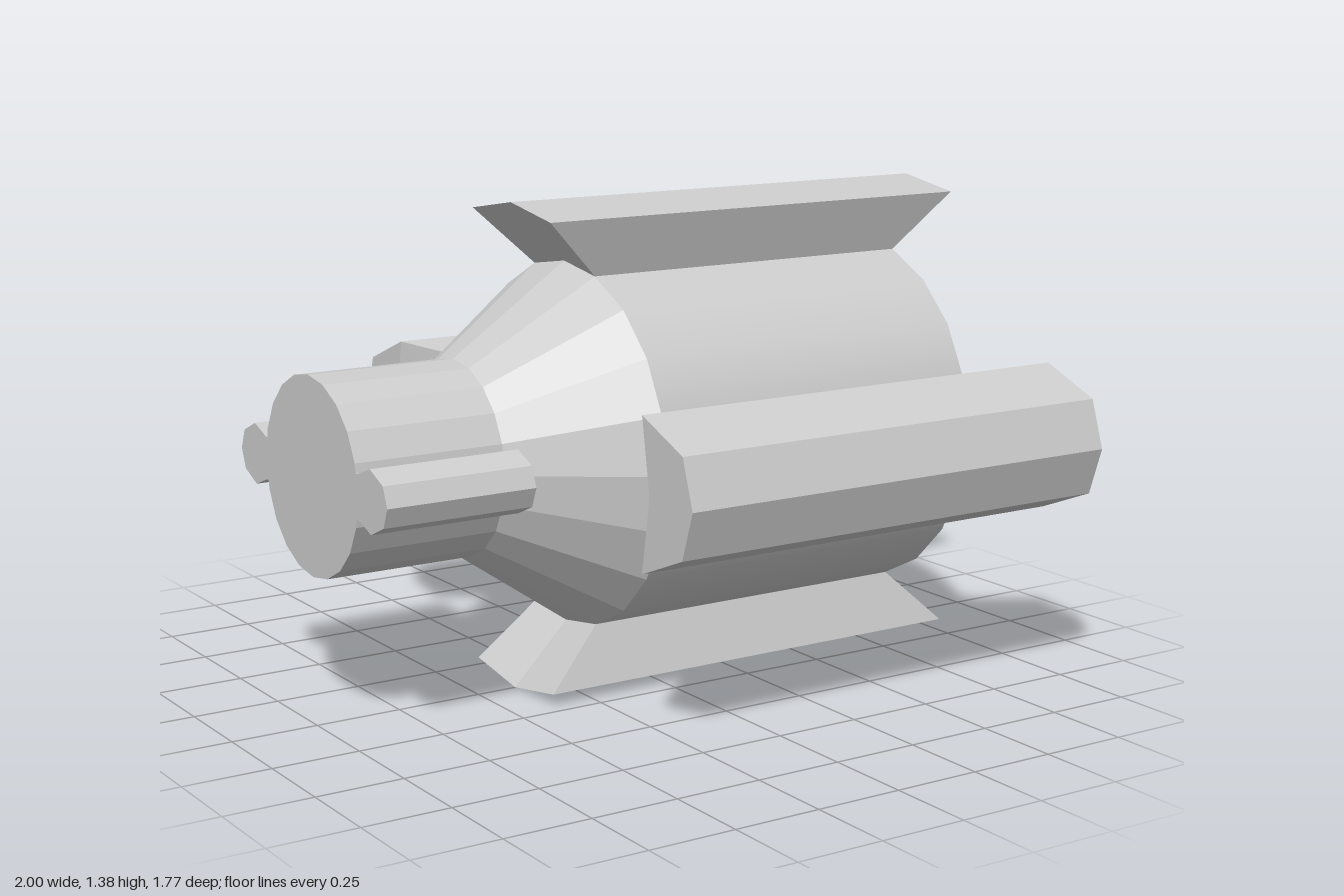
import * as THREE from 'three';

const AXIS_Y = 0.69;
const smooth = new THREE.MeshStandardMaterial({ color: 0xcccccc });
const flat = new THREE.MeshStandardMaterial({ color: 0xcccccc, flatShading: true });

function addMesh(parent, name, geometry, material = flat) {
  const mesh = new THREE.Mesh(geometry, material);
  mesh.name = name;
  parent.add(mesh);
  return mesh;
}

// Round section along x, from x0 (radius r0) to x1 (radius r1)
function section(x0, r0, x1, r1, open = false) {
  return new THREE.CylinderGeometry(r0, r1, x1 - x0, 20, 1, open)
    .rotateZ(Math.PI / 2)
    .translate((x0 + x1) / 2, 0, 0);
}

// Prism along x from a [width, radius] outline
function prism(outline, x0, x1) {
  const shape = new THREE.Shape(outline.map(([u, r]) => new THREE.Vector2(u, r)));
  return new THREE.ExtrudeGeometry(shape, { depth: x1 - x0, bevelEnabled: false })
    .rotateY(-Math.PI / 2)
    .translate(x1, 0, 0);
}

// Flaring fin: narrow at the body, wider and longer at its crowned outer face
function finGeometry() {
  const inner = [[-0.16, 0.492], [0, 0.517], [0.16, 0.492]];
  const outer = [[-0.21, 0.655], [0, 0.69], [0.21, 0.655]];
  const rows = [[-0.21, inner], [-0.38, outer], [1, outer], [0.825, inner]]
    .map(([x, pts]) => pts.map(([u, r]) => [x, r, u]));
  const out = [];
  const quad = (a, b, c, d) => out.push(...a, ...b, ...c, ...a, ...c, ...d);
  for (let s = 0; s < 3; s++) {
    for (let j = 0; j < 2; j++) quad(rows[s][j], rows[s][j + 1], rows[s + 1][j + 1], rows[s + 1][j]);
  }
  quad(rows[0][2], rows[3][2], rows[2][2], rows[1][2]);
  quad(rows[0][0], rows[1][0], rows[2][0], rows[3][0]);
  const g = new THREE.BufferGeometry();
  g.setAttribute('position', new THREE.Float32BufferAttribute(out, 3));
  g.computeVertexNormals();
  return g;
}

export function createModel() {
  const model = new THREE.Group();
  model.name = 'finnedCylinder';
  const core = new THREE.Group();
  core.name = 'core';
  core.position.y = AXIS_Y;
  model.add(core);

  // Main drum, tapering shoulder and narrow neck
  addMesh(core, 'drum', section(-0.21, 0.517, 0.825, 0.517), smooth);
  addMesh(core, 'shoulder', section(-0.565, 0.275, -0.21, 0.517, true));
  addMesh(core, 'neck', section(-1, 0.275, -0.565, 0.275));

  // Four fins around the drum; the two side fins carry an extra outer block
  const fin = finGeometry();
  const block = prism([[-0.21, 0.655], [0, 0.69], [0.21, 0.655],
    [0.135, 0.84], [0, 0.885], [-0.135, 0.84]], -0.38, 1);
  // Rounded lobe on each side of the neck
  const lobe = prism([[-0.06, 0.2], [0.06, 0.2], [0.06, 0.275], [0.086, 0.345],
    [0.055, 0.415], [0, 0.437], [-0.055, 0.415], [-0.086, 0.345], [-0.06, 0.275]], -1, -0.565);
  ['top', 'front', 'bottom', 'back'].forEach((side, k) => {
    const arm = new THREE.Group();
    arm.name = side + 'Fin';
    arm.rotation.x = k * Math.PI / 2;
    core.add(arm);
    addMesh(arm, 'flare', fin);
    if (k % 2) {
      addMesh(arm, 'outerBlock', block);
      addMesh(arm, 'neckLobe', lobe);
    }
  });
  return model;
}
